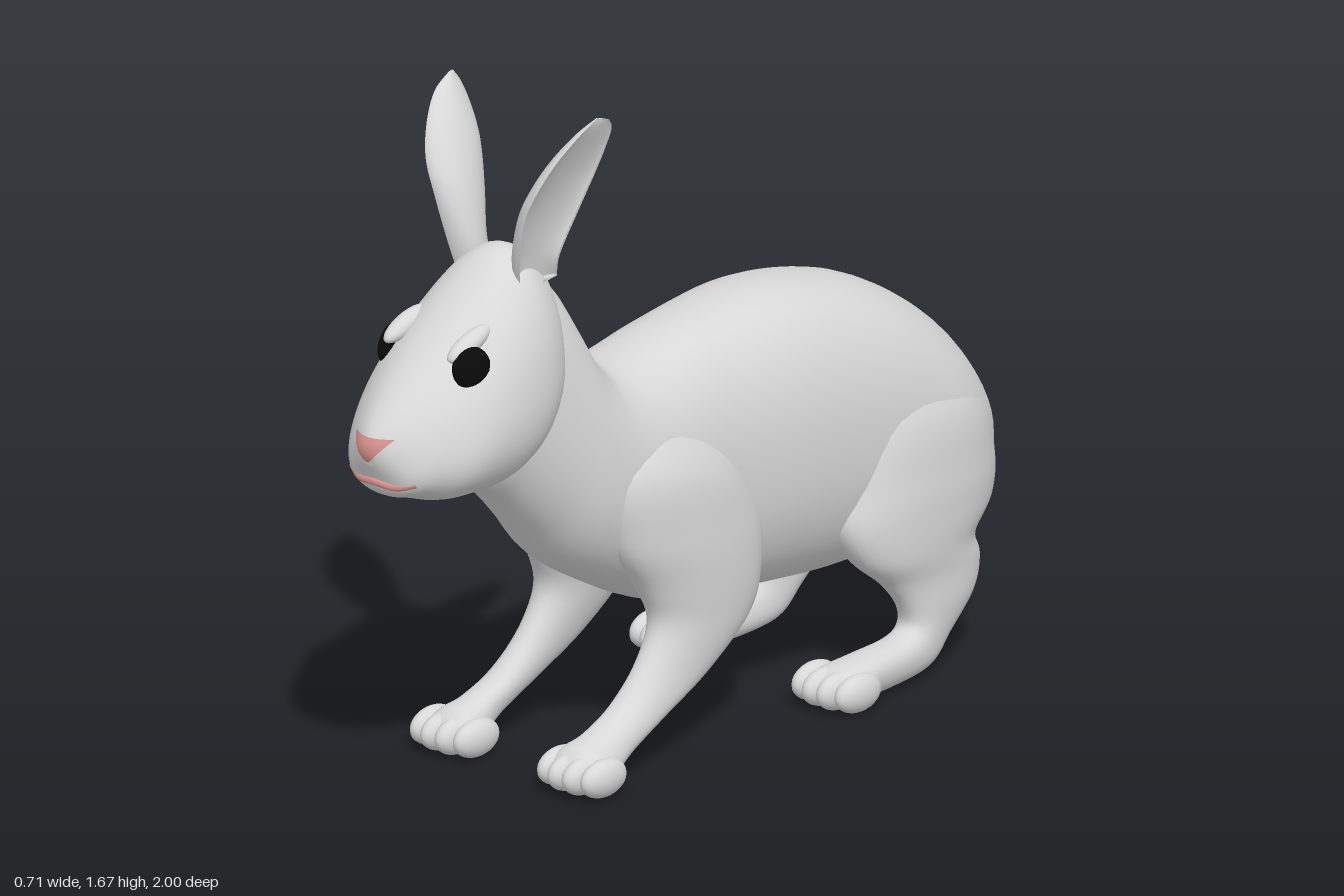
import * as THREE from 'three';

const mat = (name, color, side = THREE.FrontSide) => {
  const m = new THREE.MeshStandardMaterial({ color, side });
  m.name = name;
  return m;
};
const fur = mat('fur', 0xd8d8d8);
const pink = mat('pink', 0xd6918c, THREE.DoubleSide);
const black = mat('black', 0x0a0a0a);

// Catmull-Rom blend of four cross-sections
const blend = (p, q, r, s, t) => q.map((b, k) => {
  const a = p[k], c = r[k], d = s[k];
  return 0.5 * (2 * b + (c - a) * t + (2 * a - 5 * b + 4 * c - d) * t * t + (3 * b - a - 3 * c + d) * t * t * t);
});

// Smooth skin over sections [zA, yA, zB, yB, xCentre, halfWidth], where A and B are
// opposite edge points of each oval. side mirrors in x, egg widens the B edge,
// square fills the oval out, cup hollows the outer face, skew moves the A edge
// outward, paint picks a material.
function loft(sections, { side = 1, egg = 0, square = 1, cup = 0, skew = 0, around = 36, paint } = {}) {
  const n = sections.length, steps = 6;
  const at = i => sections[Math.min(Math.max(i, 0), n - 1)];
  const pos = [], lists = [[], []];
  const rows = (n - 1) * steps;
  const pow = v => Math.sign(v) * Math.abs(v) ** square;
  for (let j = 0; j <= rows; j++) {
    const i = Math.min(Math.floor(j / steps), n - 2);
    const [zA, yA, zB, yB, x, w] = blend(at(i - 1), at(i), at(i + 1), at(i + 2), j / steps - i);
    for (let k = 0; k < around; k++) {
      const th = (k / around) * Math.PI * 2;
      const c = pow(Math.cos(th)), s = pow(Math.sin(th));
      const bulge = s > 0 && cup ? -cup * s : s;
      pos.push(side * (x + w * bulge * (1 - egg * c) + skew * c),
        (yA + yB) / 2 + c * (yA - yB) / 2, (zA + zB) / 2 + c * (zA - zB) / 2);
    }
  }
  const tri = (list, a, b, c) => side > 0 ? list.push(a, b, c) : list.push(a, c, b);
  for (let j = 0; j < rows; j++) for (let k = 0; k < around; k++) {
    const list = lists[paint && paint(j / rows, (k + 0.5) / around) ? 1 : 0];
    const a = j * around + k, b = j * around + (k + 1) % around;
    tri(list, a, a + around, b);
    tri(list, b, a + around, b + around);
  }
  // end caps
  for (const j of [0, rows]) {
    const [zA, yA, zB, yB, x] = at(j ? n - 1 : 0);
    const mid = pos.length / 3;
    pos.push(side * x, (yA + yB) / 2, (zA + zB) / 2);
    for (let k = 0; k < around; k++) {
      const a = j * around + k, b = j * around + (k + 1) % around;
      j ? tri(lists[0], mid, b, a) : tri(lists[0], mid, a, b);
    }
  }
  const g = new THREE.BufferGeometry();
  g.setAttribute('position', new THREE.Float32BufferAttribute(pos, 3));
  g.setIndex([...lists[0], ...lists[1]]);
  g.addGroup(0, lists[0].length, 0);
  if (lists[1].length) g.addGroup(lists[0].length, lists[1].length, 1);
  g.computeVertexNormals();
  return g;
}

const BODY = [
  [-1.0, 0.47, -0.998, 0.42, 0, 0.03], [-0.982, 0.57, -0.965, 0.34, 0, 0.14],
  [-0.94, 0.68, -0.89, 0.3, 0, 0.23], [-0.84, 0.81, -0.76, 0.28, 0, 0.264],
  [-0.68, 0.92, -0.62, 0.262, 0, 0.266], [-0.5, 0.98, -0.45, 0.26, 0, 0.26],
  [-0.3, 1.005, -0.25, 0.278, 0, 0.248], [-0.05, 0.985, -0.05, 0.3, 0, 0.225],
  [0.13, 0.955, 0.1, 0.34, 0, 0.215], [0.24, 0.965, 0.24, 0.41, 0, 0.205],
  [0.3, 1.02, 0.38, 0.5, 0, 0.19], [0.35, 1.11, 0.48, 0.61, 0, 0.17],
  [0.4, 1.2, 0.58, 0.71, 0, 0.15], [0.45, 1.25, 0.65, 0.755, 0, 0.135],
  [0.5, 1.27, 0.71, 0.785, 0, 0.1],
];
const HEAD = [
  [0.42, 1.12, 0.42, 1.0, 0, 0.05], [0.44, 1.26, 0.47, 0.9, 0, 0.13],
  [0.5, 1.325, 0.55, 0.82, 0, 0.175], [0.57, 1.325, 0.65, 0.78, 0, 0.194],
  [0.66, 1.265, 0.76, 0.78, 0, 0.196], [0.76, 1.187, 0.84, 0.79, 0, 0.182],
  [0.86, 1.105, 0.9, 0.81, 0, 0.144], [0.935, 1.035, 0.945, 0.825, 0, 0.1],
  [0.978, 0.985, 0.965, 0.865, 0, 0.057], [0.994, 0.955, 0.983, 0.905, 0, 0.018],
];
const FORELEG = [
  [0.18, 0.88, 0.04, 0.84, 0.1, 0.045], [0.33, 0.74, -0.07, 0.69, 0.145, 0.096],
  [0.31, 0.56, -0.14, 0.55, 0.16, 0.103], [0.23, 0.43, -0.135, 0.42, 0.178, 0.088],
  [0.2, 0.34, -0.09, 0.31, 0.187, 0.072], [0.25, 0.25, 0.05, 0.2, 0.19, 0.055],
  [0.34, 0.17, 0.2, 0.13, 0.193, 0.05], [0.43, 0.13, 0.33, 0.07, 0.197, 0.052],
  [0.48, 0.118, 0.42, 0.02, 0.2, 0.068], [0.51, 0.095, 0.49, 0.015, 0.2, 0.07],
  [0.53, 0.07, 0.525, 0.03, 0.2, 0.05],
];
const HINDLEG = [
  [-0.52, 0.83, -0.8, 0.8, 0.1, 0.06], [-0.46, 0.66, -0.92, 0.64, 0.155, 0.115],
  [-0.41, 0.5, -0.95, 0.48, 0.17, 0.13], [-0.4, 0.41, -0.925, 0.38, 0.192, 0.114],
  [-0.45, 0.32, -0.85, 0.31, 0.215, 0.09], [-0.53, 0.25, -0.86, 0.25, 0.227, 0.07],
  [-0.575, 0.19, -0.83, 0.175, 0.238, 0.06], [-0.585, 0.14, -0.74, 0.09, 0.242, 0.055],
  [-0.54, 0.12, -0.65, 0.02, 0.247, 0.058], [-0.42, 0.115, -0.45, 0.008, 0.255, 0.066],
  [-0.34, 0.105, -0.33, 0.01, 0.255, 0.073], [-0.295, 0.08, -0.29, 0.03, 0.255, 0.05],
];
const EAR = [
  [0.46, 1.26, 0.57, 1.24, 0.105, 0.052], [0.47, 1.32, 0.592, 1.335, 0.123, 0.063],
  [0.44, 1.42, 0.605, 1.44, 0.15, 0.062], [0.414, 1.52, 0.598, 1.515, 0.182, 0.058],
  [0.408, 1.59, 0.565, 1.585, 0.21, 0.047], [0.413, 1.645, 0.512, 1.645, 0.234, 0.031],
  [0.428, 1.672, 0.455, 1.678, 0.24, 0.01],
];

export function createModel() {
  const model = new THREE.Group();
  const add = (name, geometry, material) => {
    const m = new THREE.Mesh(geometry, material);
    m.name = name;
    model.add(m);
    return m;
  };
  // ellipsoid with the given centre and radii
  const blob = (name, material, centre, radii) => {
    const m = add(name, new THREE.SphereGeometry(1, 20, 14), material);
    m.position.set(...centre);
    m.scale.set(...radii);
    return m;
  };

  add('body', loft(BODY, { square: 0.88, around: 48 }), fur);
  add('head', loft(HEAD, { egg: 0.24, square: 0.9, around: 48 }), fur);

  for (const side of [1, -1]) {
    const label = side > 0 ? 'left' : 'right';
    add(label + 'Foreleg', loft(FORELEG, { side, square: 0.92, skew: -0.01 }), fur);
    add(label + 'HindLeg', loft(HINDLEG, { side, square: 0.88, skew: 0.01 }), fur);

    // four toes on each paw
    for (const [paw, x, z] of [['Fore', 0.2, 0.492], ['Hind', 0.255, -0.325]]) {
      for (let i = 0; i < 4; i++) {
        const o = i - 1.5;
        blob(label + paw + 'Toe', fur,
          [side * (x + o * 0.045), 0.056, z - Math.abs(o) * 0.014], [0.034, 0.046, 0.072]);
      }
    }

    // cupped ears; only the right one has a pink lining
    const lining = (t, a) => side < 0 && t > 0.22 && t < 0.88 && a > 0.1 && a < 0.4;
    add(label + 'Ear', loft(EAR, { side, cup: 0.45, skew: 0.007, paint: lining }), [fur, pink]);

    // eyes: flattened domes lying on the cheek, under a soft brow
    blob(label + 'Eye', black, [side * 0.127, 1.12, 0.772], [0.051, 0.051, 0.022])
      .lookAt(side * 1.127, 1.3, 1.072);
    blob(label + 'Brow', fur, [side * 0.1, 1.168, 0.75], [0.026, 0.024, 0.075]).rotation.x = 0.35;
  }

  // nose: a triangle wrapped round the tip of the muzzle
  const nose = new THREE.PlaneGeometry(2, 1, 14, 8);
  const p = nose.attributes.position;
  for (let i = 0; i < p.count; i++) {
    const v = p.getY(i) + 0.5;
    const x = p.getX(i) * (0.004 + 0.056 * v ** 0.9), y = 0.915 + 0.062 * v;
    p.setXYZ(i, x, y, 1.0 - 8 * x * x - 10 * (y - 0.945) ** 2);
  }
  nose.computeVertexNormals();
  add('nose', nose, pink);

  // mouth: a thin lip line curving up at the corners
  const lip = new THREE.CatmullRomCurve3([[-0.1, 0.868, 0.93], [-0.055, 0.856, 0.953], [0, 0.86, 0.963],
    [0.055, 0.856, 0.953], [0.1, 0.868, 0.93]].map(a => new THREE.Vector3(...a)));
  add('mouth', new THREE.TubeGeometry(lip, 32, 0.01, 8), pink);

  return model;
}
